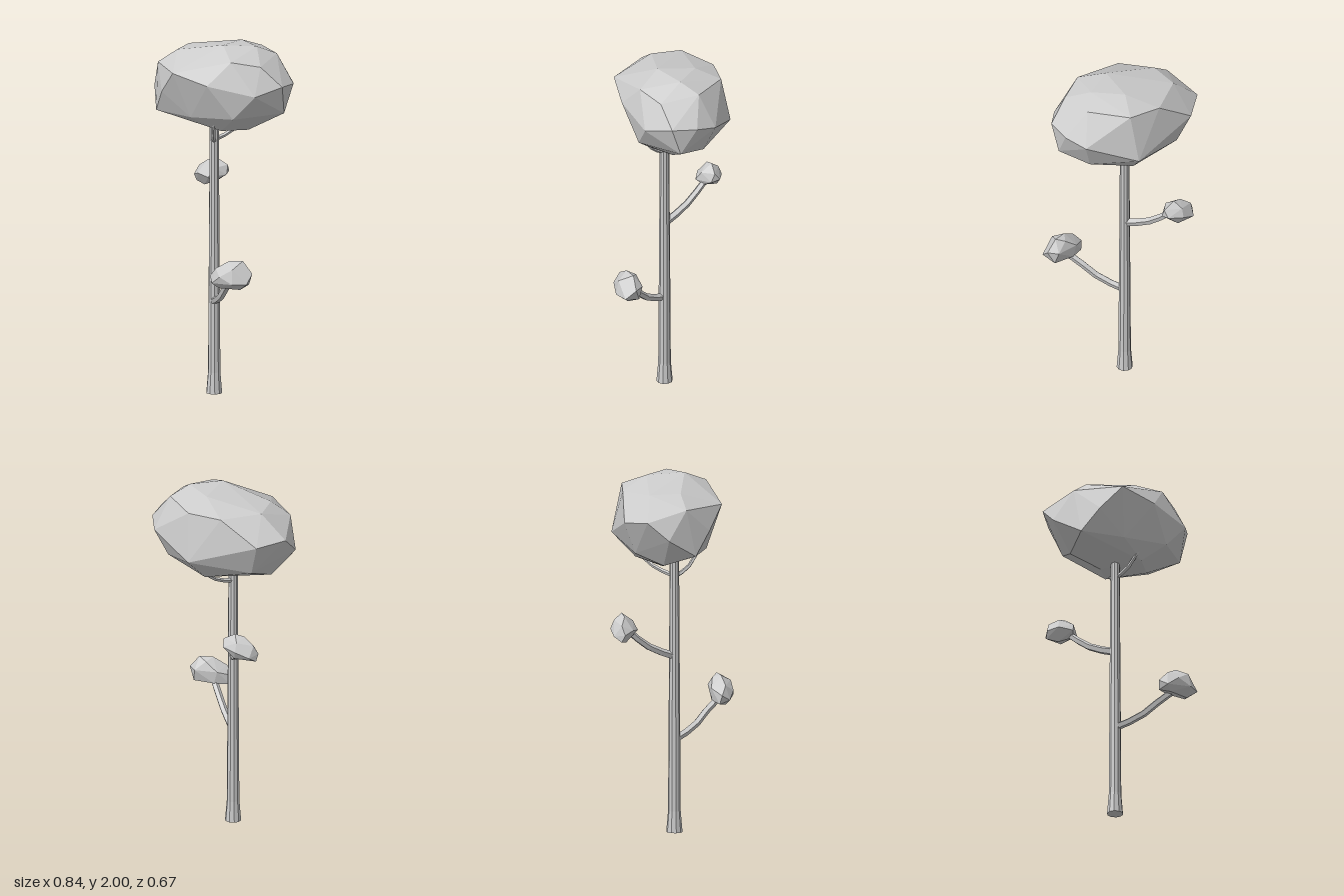
import * as THREE from 'three';
import { ConvexGeometry } from 'three/addons/geometries/ConvexGeometry.js';

const material = new THREE.MeshStandardMaterial({ color: 0xcccccc, flatShading: true });
const vec = (p) => new THREE.Vector3(...p);

function part(name, geometry) {
  const mesh = new THREE.Mesh(geometry, material);
  mesh.name = name;
  return mesh;
}

// Faceted clump of leaves: the hull of a few corner points
const foliage = (name, corners) => part(name, new ConvexGeometry(corners.map(vec)));

// Bent five-sided branch whose rings shrink from r0 to r1
function branch(name, path, r0, r1) {
  const curve = new THREE.CatmullRomCurve3(path.map(vec));
  const steps = 4, sides = 5;
  const geo = new THREE.TubeGeometry(curve, steps, 1, sides, false);
  const pos = geo.attributes.position;
  const p = new THREE.Vector3();
  for (let i = 0; i < pos.count; i++) {
    const t = Math.floor(i / (sides + 1)) / steps;
    const c = curve.getPointAt(t);
    p.fromBufferAttribute(pos, i).sub(c).multiplyScalar(r0 + (r1 - r0) * t).add(c);
    pos.setXYZ(i, p.x, p.y, p.z);
  }
  geo.computeVertexNormals();
  return part(name, geo);
}

export function createModel() {
  const tree = new THREE.Group();
  tree.name = 'tree';

  // Trunk with a flared foot
  const profile = [[0, 0], [0.045, 0], [0.035, 0.12], [0.032, 0.6], [0.028, 1.2], [0.026, 1.54], [0, 1.54]];
  const trunk = part('trunk', new THREE.LatheGeometry(profile.map(([r, y]) => new THREE.Vector2(r, y)), 10));
  trunk.position.set(-0.03, 0, 0.02);
  tree.add(trunk);

  // Side branches, then the two forks under the crown
  tree.add(
    branch('lowerBranch', [[-0.04, 0.52, 0.02], [0.07, 0.575, 0.12], [0.13, 0.635, 0.17], [0.2, 0.7, 0.235]], 0.021, 0.02),
    branch('upperBranch', [[-0.03, 0.985, 0.02], [-0.1, 1.035, -0.09], [-0.14, 1.08, -0.15], [-0.19, 1.16, -0.23]], 0.023, 0.018),
    branch('frontFork', [[-0.03, 1.43, 0.02], [0.01, 1.475, 0.09], [0.05, 1.57, 0.15]], 0.013, 0.009),
    branch('backFork', [[-0.03, 1.44, 0.01], [0.015, 1.475, -0.09], [0.055, 1.56, -0.2]], 0.013, 0.009),
  );

  // Crown: top, shoulder, waist and underside corners
  tree.add(foliage('crown', [
    [0.06, 2, 0.07], [0.21, 1.99, -0.04], [0.05, 1.985, -0.14], [0.28, 1.94, -0.135],
    [-0.24, 1.935, 0.07], [-0.27, 1.93, -0.1], [-0.1, 1.92, -0.26], [0.09, 1.93, -0.28],
    [0.18, 1.94, 0.18], [0.31, 1.91, 0.08], [-0.13, 1.86, 0.29], [-0.34, 1.86, 0.11],
    [0.08, 1.81, 0.27], [0.33, 1.76, 0.17], [0.42, 1.8, 0.03], [0.405, 1.79, -0.11],
    [0.335, 1.76, -0.22], [0.065, 1.66, -0.335], [-0.31, 1.78, -0.235],
    [-0.42, 1.8, -0.1], [-0.42, 1.7, 0.02], [-0.24, 1.73, 0.23],
    [-0.32, 1.6, 0.16], [-0.07, 1.6, 0.2], [0.2, 1.62, 0.19], [0.4, 1.64, -0.02],
    [-0.29, 1.54, -0.02], [-0.09, 1.5, -0.04], [0.18, 1.52, 0], [0.08, 1.525, 0.12],
    [0.03, 1.53, -0.2], [0.28, 1.6, -0.16], [-0.25, 1.6, -0.18],
  ]));

  // Leaf clumps at the tips of the side branches
  tree.add(foliage('lowerClump', [
    [0.29, 0.838, 0.23], [0.22, 0.835, 0.26], [0.24, 0.82, 0.21], [0.15, 0.79, 0.29], [0.27, 0.8, 0.31],
    [0.345, 0.77, 0.22], [0.345, 0.72, 0.28], [0.295, 0.77, 0.18], [0.17, 0.77, 0.21],
    [0.105, 0.74, 0.275], [0.2, 0.755, 0.33], [0.28, 0.72, 0.325], [0.14, 0.71, 0.315],
    [0.115, 0.69, 0.26], [0.17, 0.68, 0.29], [0.29, 0.68, 0.26], [0.31, 0.7, 0.2], [0.19, 0.7, 0.21],
  ]));
  tree.add(foliage('upperClump', [
    [-0.19, 1.255, -0.26], [-0.24, 1.24, -0.24], [-0.125, 1.22, -0.27], [-0.17, 1.21, -0.2],
    [-0.3, 1.2, -0.25], [-0.22, 1.22, -0.3], [-0.22, 1.17, -0.32], [-0.135, 1.18, -0.3],
    [-0.12, 1.17, -0.25], [-0.19, 1.16, -0.17], [-0.27, 1.17, -0.19], [-0.32, 1.15, -0.23],
    [-0.295, 1.14, -0.295], [-0.315, 1.11, -0.25], [-0.25, 1.1, -0.23], [-0.17, 1.135, -0.21], [-0.2, 1.12, -0.29],
  ]));

  return tree;
}
